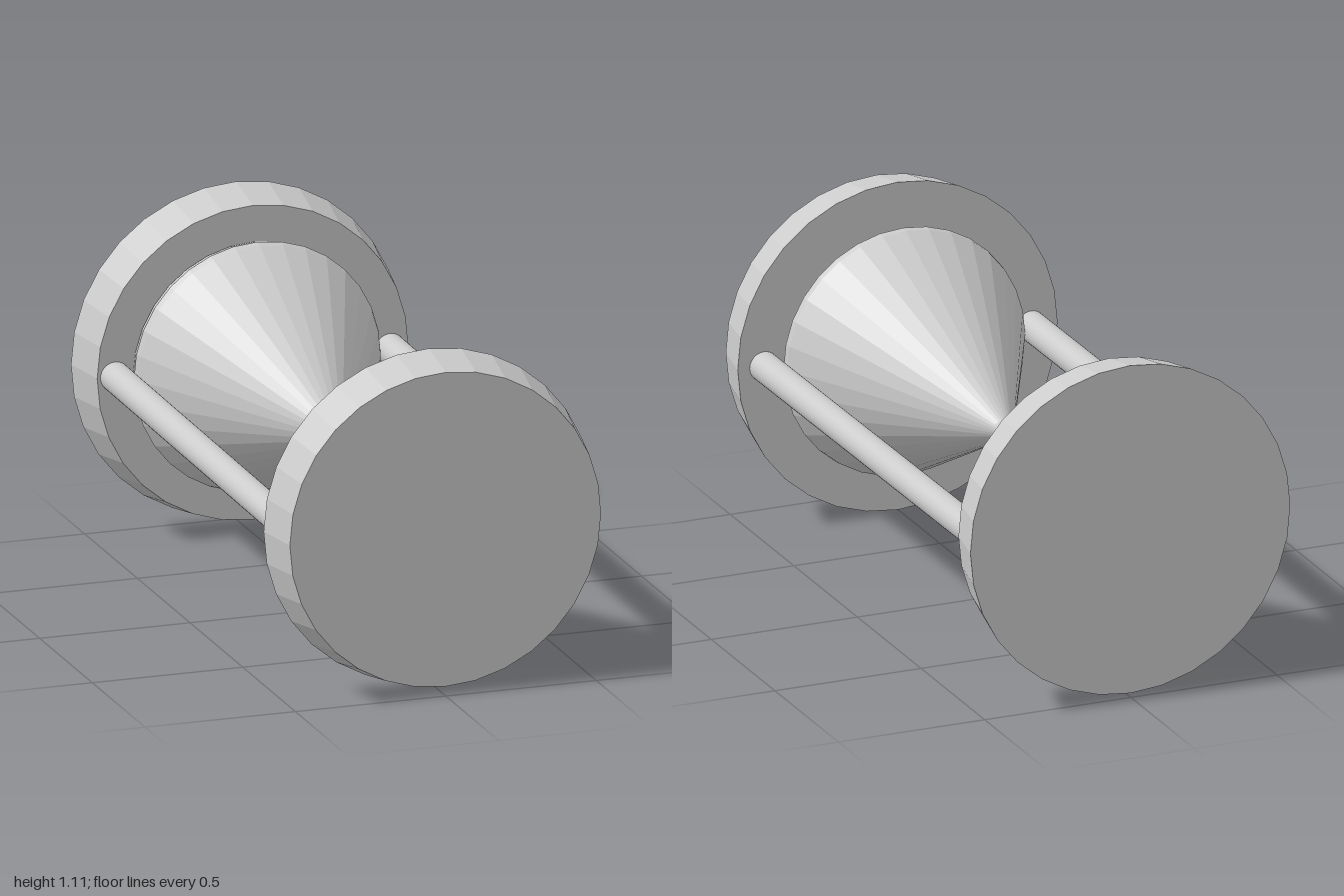
import * as THREE from 'three';

const SIDES = 32;

export function createModel() {
  const model = new THREE.Group();
  model.name = 'hourglass';
  const material = new THREE.MeshStandardMaterial({ color: 0xcccccc, flatShading: true });

  // Everything is turned about the long axis, which is laid along z
  const body = new THREE.Group();
  body.name = 'hourglassBody';
  const add = (name, geometry, x, z) => {
    const mesh = new THREE.Mesh(geometry.rotateX(Math.PI / 2), material);
    mesh.name = name;
    mesh.position.set(x, 0, z);
    body.add(mesh);
  };

  // End plates, both flaring towards the back
  add('frontPlate', new THREE.CylinderGeometry(0.517, 0.547, 0.163, SIDES), 0, 0.9145);
  add('backPlate', new THREE.CylinderGeometry(0.517, 0.547, 0.163, SIDES), 0, -0.9145);

  // Glass: two cones joined by a narrow neck, with bevelled shoulders
  const profile = [
    [0.385, -0.84], [0.4, -0.825], [0.41, -0.79], [0.403, -0.77],
    [0.035, -0.05], [0.035, 0.0],
    [0.407, 0.765], [0.41, 0.787], [0.4, 0.797], [0.363, 0.836],
  ].map(([r, z]) => new THREE.Vector2(r, z));
  add('glassBulbs', new THREE.LatheGeometry(profile, SIDES), 0, 0);

  // Side posts
  for (const side of [1, -1]) {
    add(side > 0 ? 'leftPost' : 'rightPost',
      new THREE.CylinderGeometry(0.049, 0.049, 1.68, SIDES), side * 0.457, 0);
  }

  // Slight tilt from resting on the wider rims
  body.rotation.x = 0.008;
  body.position.y = 0.5535;
  model.add(body);
  return model;
}
